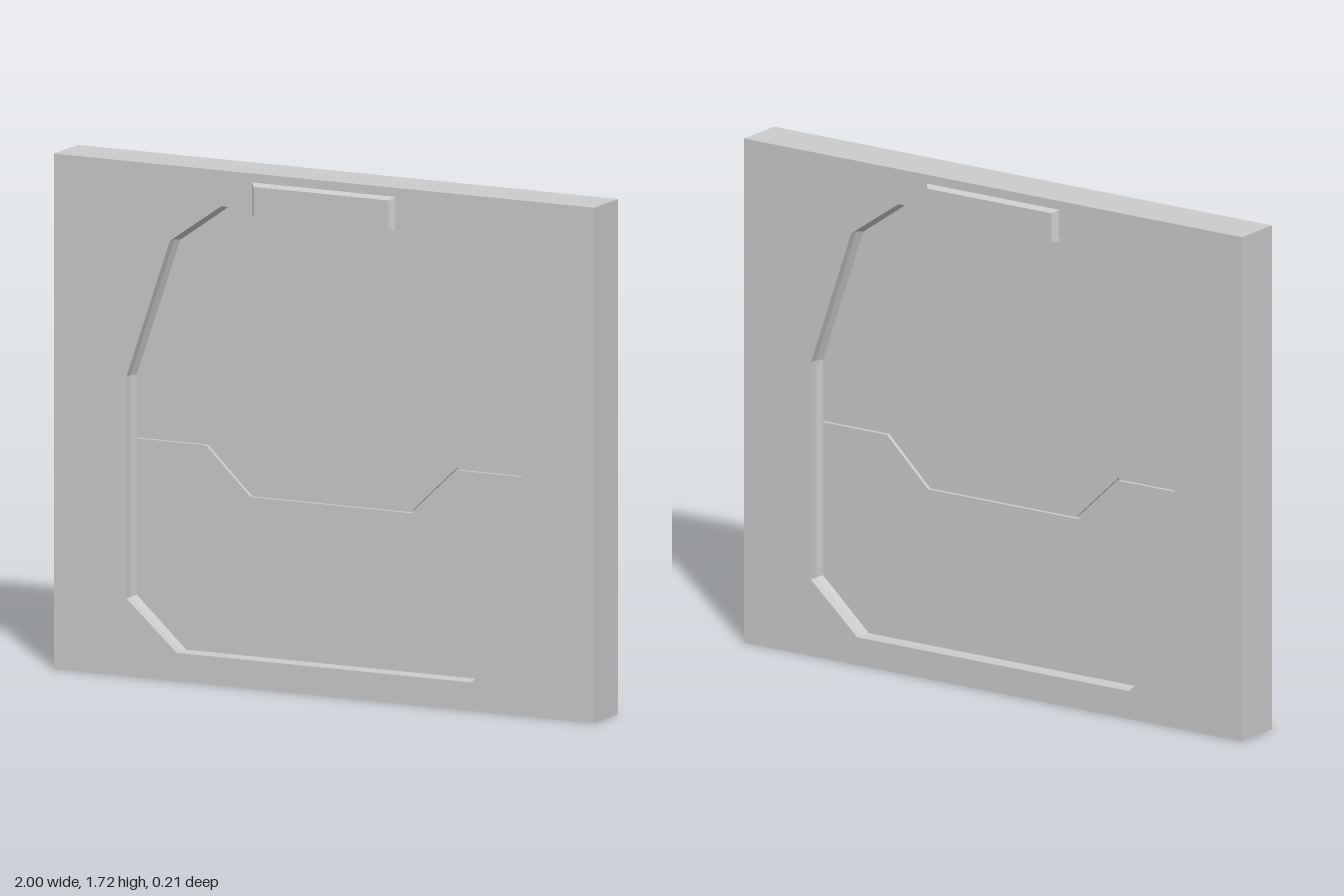
import * as THREE from 'three';

const material = new THREE.MeshStandardMaterial({ color: 0xcccccc, flatShading: true });
const WIDTH = 2, HEIGHT = 1.72, HALF = 0.085, LIP = 0.055, DOOR = 0.027;

// Right half of a symmetric outline (bottom to top), completed by mirroring
const mirrorOutline = half => [...half, ...half.slice().reverse().map(([x, y]) => [-x, y])];
const opening = mirrorOutline([[0.545, 0.095], [0.731, 0.26], [0.731, 1], [0.57, 1.468], [0.38, 1.6]]);
const doorway = mirrorOutline([[0.54, 0.096], [0.723, 0.263], [0.723, 0.998], [0.562, 1.462], [0.376, 1.593]]);

const toShape = points => new THREE.Shape(points.map(([x, y]) => new THREE.Vector2(x, y)));

function add(group, name, geometry) {
  const mesh = new THREE.Mesh(geometry, material);
  mesh.name = name;
  group.add(mesh);
  return mesh;
}

// Extrude a shape symmetrically about z = 0
function slab(shape, half) {
  return new THREE.ExtrudeGeometry(shape, { depth: 2 * half, bevelEnabled: false }).translate(0, 0, -half);
}

// Inward-facing band joining matching outlines at successive depths
function reveal(sections) {
  const positions = [];
  for (let s = 0; s < sections.length - 1; s++) {
    const [front, zf] = sections[s], [back, zb] = sections[s + 1];
    front.forEach((p, i) => {
      const j = (i + 1) % front.length;
      const a = [...p, zf], b = [...front[j], zf];
      const c = [...back[j], zb], d = [...back[i], zb];
      positions.push(...a, ...b, ...c, ...a, ...c, ...d);
    });
  }
  const geometry = new THREE.BufferGeometry();
  geometry.setAttribute('position', new THREE.Float32BufferAttribute(positions, 3));
  geometry.computeVertexNormals();
  return geometry;
}

// Header block through the wall, its top and sides tapering at both faces
function headerGeometry() {
  const geometry = new THREE.BoxGeometry(0.53, 0.11, 2, 1, 1, 3);
  const p = geometry.attributes.position;
  for (let i = 0; i < p.count; i++) {
    const z = p.getZ(i), outer = Math.abs(z) > 0.9;
    if (outer) {
      p.setX(i, Math.sign(p.getX(i)) * 0.25);
      if (p.getY(i) > 0) p.setY(i, 0.045);
    }
    p.setZ(i, Math.sign(z) * (outer ? 0.105 : HALF));
  }
  geometry.computeVertexNormals();
  return geometry.translate(0, 1.635, 0);
}

export function createModel() {
  const group = new THREE.Group();
  group.name = 'doorInWall';

  // Wall with the doorway cut through it
  const wall = toShape([[-WIDTH / 2, 0], [WIDTH / 2, 0], [WIDTH / 2, HEIGHT], [-WIDTH / 2, HEIGHT]]);
  wall.holes.push(toShape(opening));
  add(group, 'wall', slab(wall, HALF));

  // Sloped lip inside the doorway, on both sides
  const lip = add(group, 'doorwayLip', reveal([
    [opening, LIP], [doorway, DOOR], [doorway, -DOOR], [opening, -LIP],
  ]));
  lip.material = material.clone();
  lip.material.side = THREE.DoubleSide;

  // Door leaves, split along a stepped seam with a narrow groove
  const seam = offset => [
    [0.723, 0.79 + offset], [0.465 - offset * 0.4, 0.79 + offset], [0.3 - offset * 0.4, 0.632 + offset],
    [-0.3 + offset * 0.4, 0.632 + offset], [-0.465 + offset * 0.4, 0.79 + offset], [-0.723, 0.79 + offset],
  ];
  const lower = doorway.filter(([, y]) => y < 0.7);
  const upper = doorway.filter(([, y]) => y > 0.7);
  // The lower outline runs bottom right, right, then along the seam to the left
  add(group, 'lowerDoor', slab(toShape([
    lower[0], lower[1], ...seam(-0.005), lower[2], lower[3],
  ]), DOOR));
  add(group, 'upperDoor', slab(toShape([...upper, ...seam(0.005).reverse()]), DOOR));

  // Thin core closing the seam
  add(group, 'doorCore', slab(toShape(doorway), 0.014));

  add(group, 'doorHeader', headerGeometry());
  return group;
}
